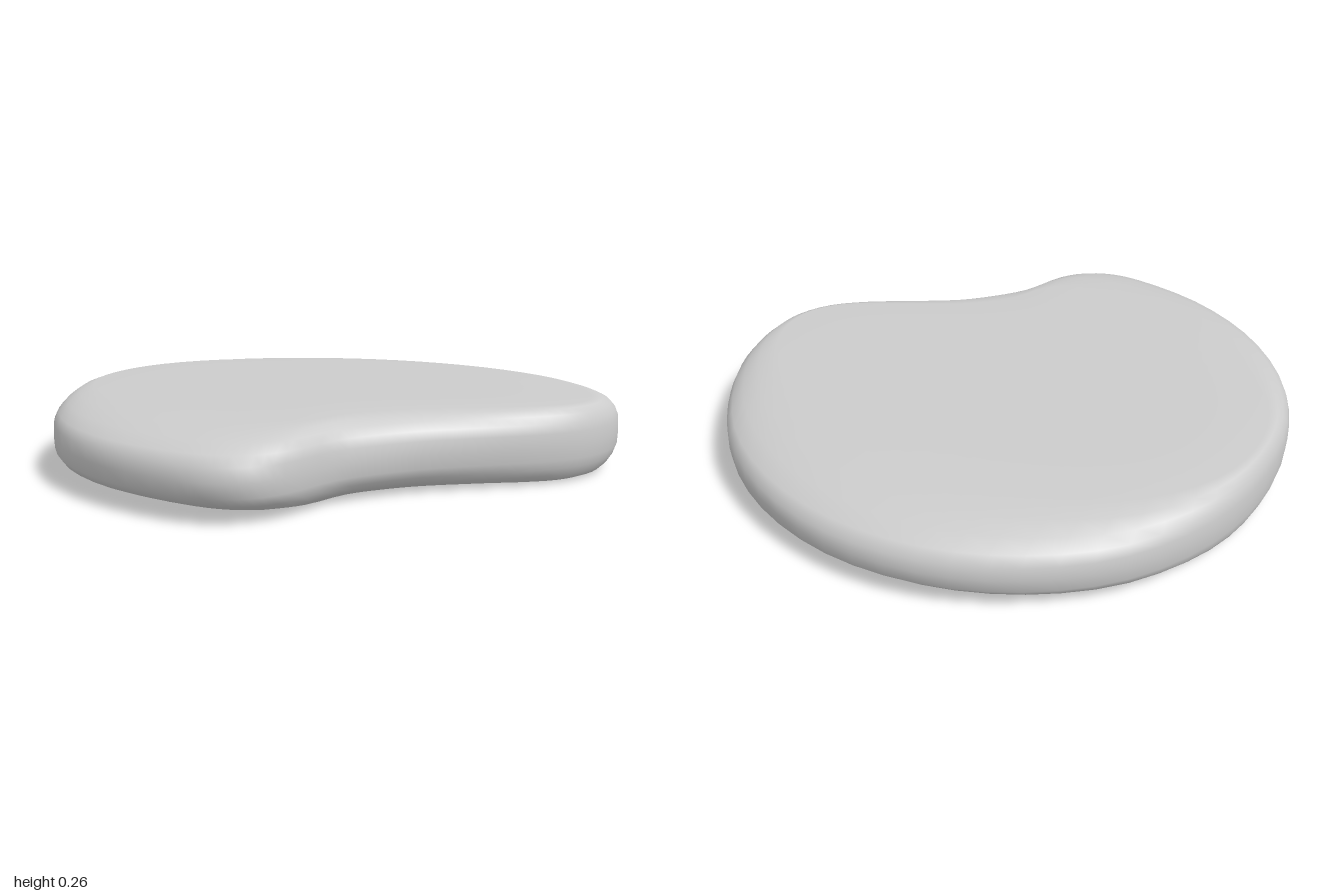
import * as THREE from 'three';

// Plan outline of the slab as [x, z], with a hollow on the front left
const OUTLINE = [
  [0.02, -1], [0.34, -0.95], [0.62, -0.81], [0.83, -0.6], [0.93, -0.44], [0.975, -0.29],
  [0.975, -0.15], [0.92, 0], [0.81, 0.13], [0.67, 0.25], [0.51, 0.39], [0.41, 0.51],
  [0.33, 0.64], [0.27, 0.84], [0.21, 0.93], [0.12, 0.98], [0, 0.995], [-0.29, 0.95],
  [-0.57, 0.81], [-0.8, 0.58], [-0.94, 0.3], [-0.98, 0], [-0.94, -0.3], [-0.8, -0.59],
  [-0.57, -0.81], [-0.29, -0.95],
];

// Upper half of the rim: [height above the middle, scale in x, scale in z]
const RIM = [
  [0, 1, 1], [0.045, 0.998, 0.996], [0.075, 0.99, 0.965], [0.1, 0.977, 0.9],
  [0.118, 0.96, 0.81], [0.127, 0.935, 0.69], [0.13, 0.7, 0.5], [0.13, 0, 0],
];
const MIDDLE = 0.13;
const CENTRE_X = -0.2;

function slabGeometry() {
  const curve = new THREE.CatmullRomCurve3(OUTLINE.map(([x, z]) => new THREE.Vector3(x, 0, z)), true);
  const points = curve.getPoints(OUTLINE.length * 3).slice(0, -1);
  const n = points.length;

  // Mirror the rim to get the full section from bottom to top
  const rows = [...RIM.slice(1).reverse().map(([h, sx, sz]) => [-h, sx, sz]), ...RIM];
  const positions = [];
  const index = [];
  rows.forEach(([h, sx, sz], r) => {
    points.forEach((p, i) => {
      positions.push(CENTRE_X + (p.x - CENTRE_X) * sx, MIDDLE + h, p.z * sz);
      if (r === rows.length - 1) return;
      const a = r * n + i;
      const b = r * n + (i + 1) % n;
      if (r < rows.length - 2) index.push(a, a + n, b + n);
      if (r > 0) index.push(a, b + n, b);
      // close the two flat faces at the centre
      if (r === 0) index.push(a, a + n, b + n);
      if (r === rows.length - 2) index.push(a, a + n, b);
    });
  });

  const geometry = new THREE.BufferGeometry();
  geometry.setAttribute('position', new THREE.Float32BufferAttribute(positions, 3));
  // one triangle per side is enough next to the centre points
  geometry.setIndex(index.filter((_, k) => {
    const t = k - (k % 3);
    return !(index[t] === index[t + 1] || index[t + 1] === index[t + 2]);
  }));
  geometry.computeVertexNormals();
  return geometry;
}

export function createModel() {
  const group = new THREE.Group();
  group.name = 'roundedSlab';
  const grey = new THREE.MeshStandardMaterial({ color: 0xcccccc });
  grey.name = 'light grey';
  const slab = new THREE.Mesh(slabGeometry(), grey);
  slab.name = 'slab';
  group.add(slab);
  return group;
}
